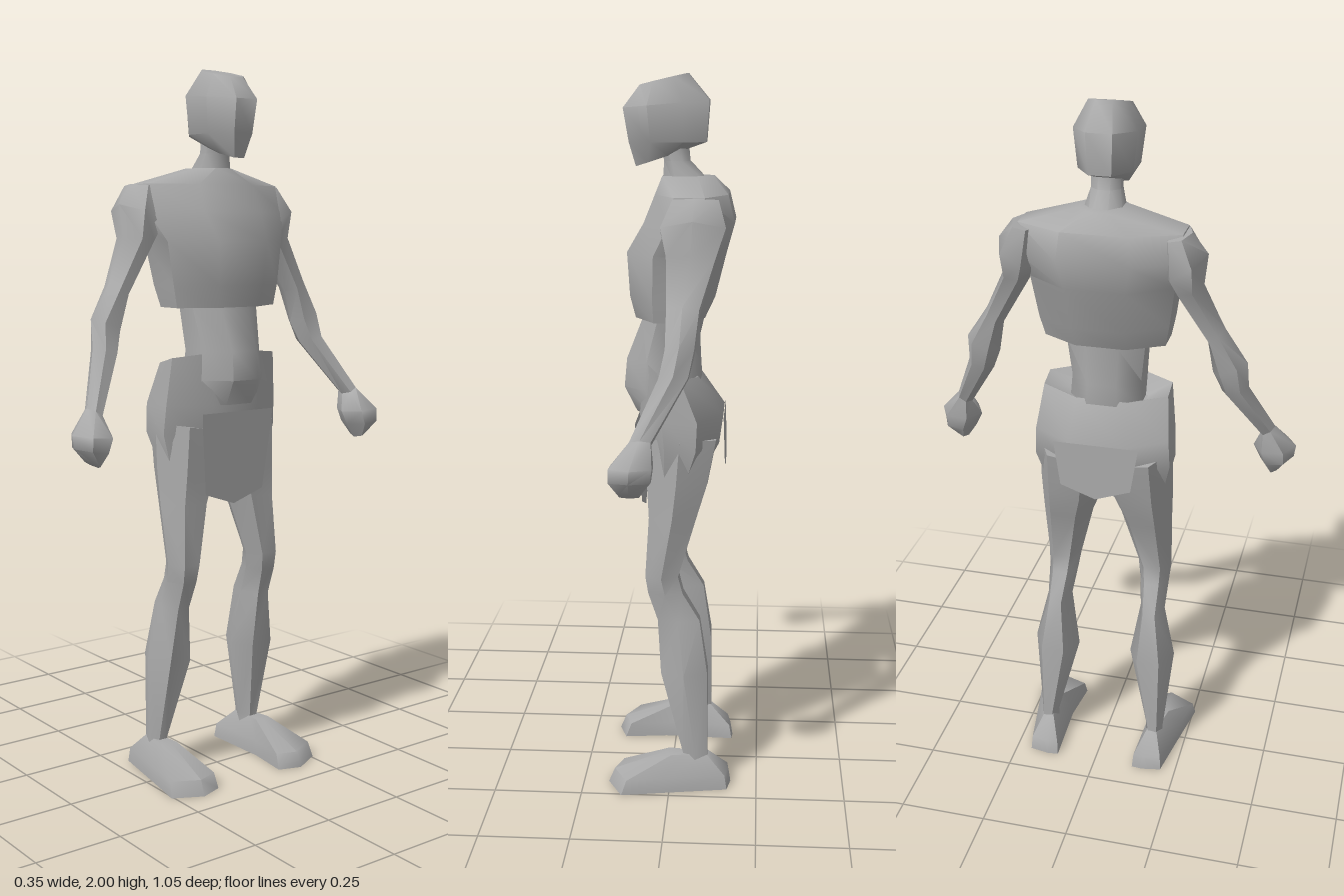
import * as THREE from 'three';
import { toCreasedNormals } from 'three/addons/utils/BufferGeometryUtils.js';

const grey = new THREE.MeshStandardMaterial({ color: 0xaaaaaa, side: THREE.DoubleSide });
grey.name = 'clay grey';

// Skin rings of points, ordered top to bottom; side -1 mirrors across z
function skin(name, rings, side = 1) {
  const n = rings[0].length, pos = [], idx = [];
  const tri = (a, b, c) => (side > 0 ? idx.push(a, b, c) : idx.push(a, c, b));
  rings.forEach(r => r.forEach(([x, y, z]) => pos.push(x, y, z * side)));
  for (let i = 0; i < rings.length - 1; i++) {
    for (let j = 0; j < n; j++) {
      const a = i * n + j, b = i * n + (j + 1) % n;
      tri(a, a + n, b + n);
      tri(a, b + n, b);
    }
  }
  for (const [k, top] of [[0, true], [rings.length - 1, false]]) {
    const centre = [0, 1, 2].map(c => rings[k].reduce((s, p) => s + p[c], 0) / n);
    const m = pos.length / 3;
    pos.push(centre[0], centre[1], centre[2] * side);
    for (let j = 0; j < n; j++) {
      const a = k * n + j, b = k * n + (j + 1) % n;
      top ? tri(m, a, b) : tri(m, b, a);
    }
  }
  const g = new THREE.BufferGeometry();
  g.setAttribute('position', new THREE.Float32BufferAttribute(pos, 3));
  g.setIndex(idx);
  const mesh = new THREE.Mesh(toCreasedNormals(g, 0.9), grey);
  mesh.name = name;
  return mesh;
}

// Polygon ring from its back and front x, and its outer and inner ends in (z, y)
function ring(n, turn, [xb, xf, zo, yo, zi, yi, tilt = 0]) {
  const angles = Array.from({ length: n }, (_, j) => ((j + turn) / n) * Math.PI * 2);
  const mc = Math.max(...angles.map(Math.cos)), ms = Math.max(...angles.map(Math.sin));
  return angles.map(a => {
    const c = Math.cos(a) / mc, s = Math.sin(a) / ms;
    return [
      (xb + xf) / 2 + (s * (xf - xb)) / 2,
      (yo + yi) / 2 + (c * (yo - yi)) / 2 + s * tilt,
      (zo + zi) / 2 + (c * (zo - zi)) / 2,
    ];
  });
}

// Central part from rows of [y, back x, front x, half width, tilt]
const trunk = (name, rows, turn = 0.5) =>
  skin(name, rows.map(([y, xb, xf, w, t]) => ring(8, turn, [xb, xf, w, y, -w, y, t])));
const limb = (name, rows, side) => skin(name, rows.map(r => ring(6, 0, r)), side);

// Hanging cloth panel, sloping from top x to bottom x
function flap(name, xTop, xBottom, outline) {
  const half = outline.map(([z, y]) => new THREE.Vector2(z, y));
  const other = outline.slice().reverse().map(([z, y]) => new THREE.Vector2(-z, y));
  const g = new THREE.ShapeGeometry(new THREE.Shape([...half, ...other]));
  g.rotateY(Math.PI / 2);
  const p = g.attributes.position, y0 = outline[0][1], y1 = outline[outline.length - 1][1];
  for (let i = 0; i < p.count; i++) {
    p.setX(i, THREE.MathUtils.mapLinear(p.getY(i), y0, y1, xTop, xBottom));
  }
  g.computeVertexNormals();
  const mesh = new THREE.Mesh(g, grey);
  mesh.name = name;
  return mesh;
}

export function createModel() {
  const model = new THREE.Group();
  model.name = 'figure';

  model.add(
    trunk('head', [
      [1.985, -0.04, 0.09, 0.052, -0.015],
      [1.92, -0.098, 0.135, 0.085, -0.01],
      [1.82, -0.09, 0.12, 0.074],
      [1.775, -0.02, 0.102, 0.04, -0.02],
    ]),
    trunk('neck', [
      [1.82, -0.04, 0.035, 0.04],
      [1.77, -0.045, 0.025, 0.04],
      [1.69, -0.12, 0.03, 0.06],
    ]),
    trunk('chest', [
      [1.73, -0.11, 0.03, 0.06],
      [1.685, -0.152, 0.045, 0.22],
      [1.61, -0.17, 0.075, 0.235],
      [1.53, -0.148, 0.122, 0.197],
      [1.41, -0.118, 0.115, 0.18],
      [1.35, -0.09, 0.1, 0.168],
    ]),
    trunk('waist', [
      [1.4, -0.07, 0.07, 0.115],
      [1.34, -0.07, 0.085, 0.11],
      [1.23, -0.075, 0.128, 0.098],
      [1.15, -0.08, 0.135, 0.105],
      [1.08, -0.06, 0.1, 0.1],
    ]),
    trunk('pelvis', [
      [1.17, -0.05, 0.05, 0.11],
      [1.205, -0.07, 0.075, 0.177, 0.02],
      [1.08, -0.143, 0.09, 0.19],
      [1.0, -0.132, 0.075, 0.194],
      [0.9, -0.08, 0.055, 0.17],
    ]),
    flap('frontFlap', 0.1, 0.08, [[0.122, 1.06], [0.12, 1.02], [0.1, 0.83], [0, 0.795]]),
    flap('rearFlap', -0.145, -0.15, [[0.12, 1.08], [0.1, 0.95], [0, 0.915]]),
  );

  // Plan outline of the foot: outer side, toe, inner side, heel
  const sole = [[0.03, 0.238], [0.135, 0.257], [0.178, 0.175], [0.155, 0.11],
    [0.03, 0.125], [-0.172, 0.118], [-0.175, 0.15], [-0.165, 0.205]];
  const footLayer = (scale, y) =>
    sole.map(([x, z]) => [-0.073 + (x + 0.073) * scale, y, 0.165 + (z - 0.165) * scale]);

  for (const side of [1, -1]) {
    const prefix = side > 0 ? 'right' : 'left';
    // Shoulder, upper arm, elbow, forearm
    model.add(limb(prefix + 'Arm', [
      [-0.13, -0.01, 0.24, 1.685, 0.17, 1.67],
      [-0.15, 0.02, 0.282, 1.63, 0.17, 1.56],
      [-0.125, 0.005, 0.272, 1.54, 0.195, 1.53],
      [-0.085, 0.0, 0.33, 1.42, 0.284, 1.38],
      [-0.075, 0.0, 0.393, 1.325, 0.3, 1.29],
      [-0.06, 0.015, 0.397, 1.25, 0.325, 1.23],
      [0.03, 0.085, 0.466, 1.1, 0.425, 1.075],
    ], side));
    model.add(limb(prefix + 'Hand', [
      [0.03, 0.085, 0.466, 1.1, 0.425, 1.075],
      [0.025, 0.135, 0.525, 1.035, 0.405, 1.025],
      [0.03, 0.135, 0.52, 1.0, 0.425, 0.985],
      [0.06, 0.11, 0.485, 0.965, 0.452, 0.945],
    ], side));
    // Thigh, knee, calf, ankle
    model.add(limb(prefix + 'Leg', [
      [-0.125, 0.07, 0.193, 1.03, 0.0, 1.0],
      [-0.1, 0.065, 0.195, 0.9, 0.015, 0.87],
      [-0.072, 0.06, 0.192, 0.8, 0.043, 0.8],
      [-0.022, 0.07, 0.188, 0.63, 0.088, 0.63],
      [-0.035, 0.062, 0.184, 0.58, 0.096, 0.58],
      [-0.083, 0.035, 0.18, 0.5, 0.107, 0.5],
      [-0.106, 0.025, 0.215, 0.35, 0.08, 0.34],
      [-0.108, -0.038, 0.192, 0.1, 0.14, 0.1],
      [-0.11, -0.035, 0.192, 0.06, 0.14, 0.06],
    ], side));
    model.add(skin(prefix + 'Foot',
      [footLayer(0.33, 0.098), footLayer(0.93, 0.042), footLayer(1, 0)], side));
  }
  return model;
}
